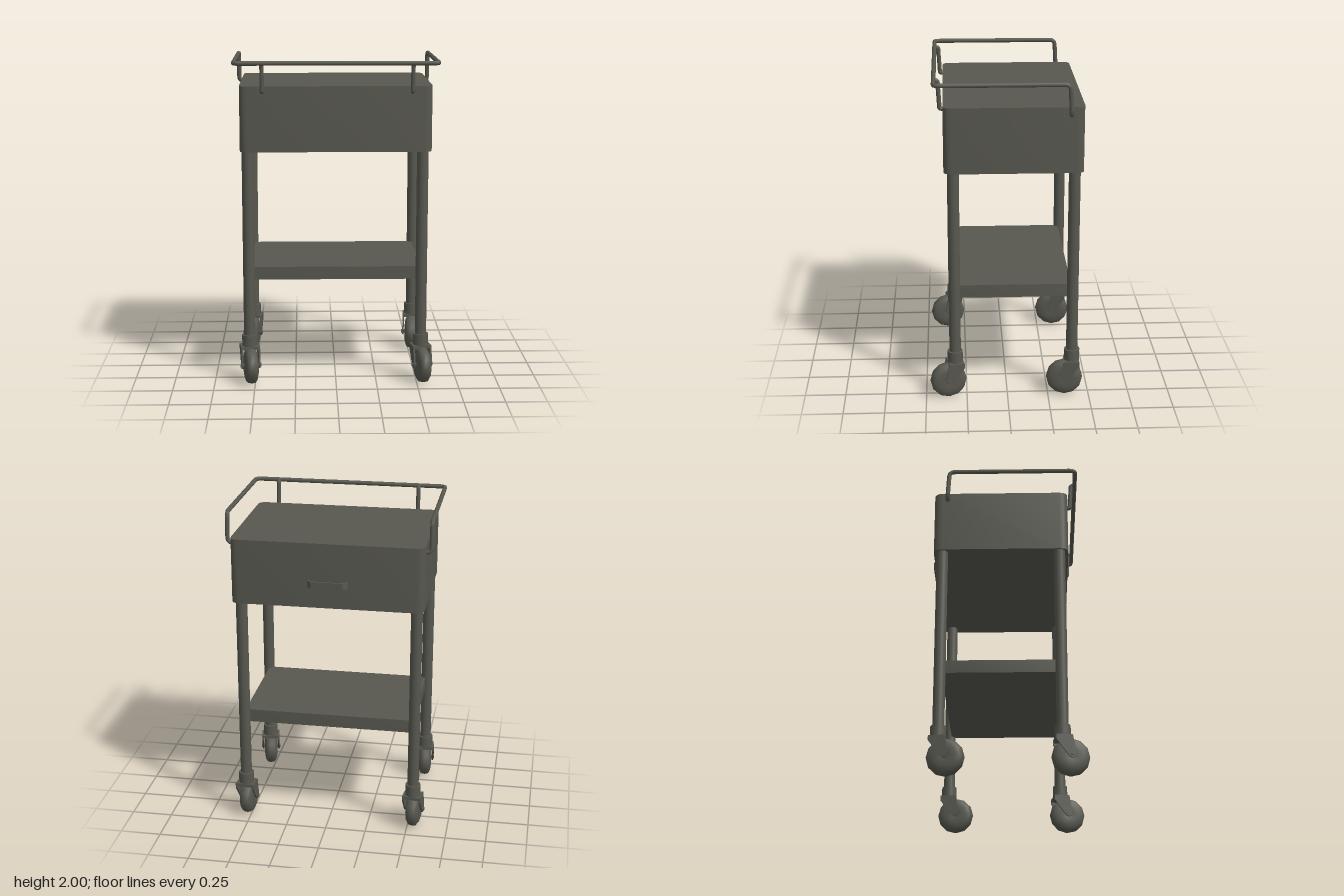
import * as THREE from 'three';
import { toCreasedNormals } from 'three/addons/utils/BufferGeometryUtils.js';

const darkMetal = new THREE.MeshStandardMaterial({ color: 0x585850 });

function part(name, geometry, parent, x = 0, y = 0, z = 0) {
  const mesh = new THREE.Mesh(geometry, darkMetal);
  mesh.name = name;
  mesh.position.set(x, y, z);
  parent.add(mesh);
  return mesh;
}

// Flat slab with rounded vertical corners, from y0 to y1
function slab(x0, x1, z0, z1, y0, y1, r) {
  const s = new THREE.Shape();
  const [a, b] = [-z1, -z0];
  s.moveTo(x0 + r, a);
  s.lineTo(x1 - r, a);
  s.quadraticCurveTo(x1, a, x1, a + r);
  s.lineTo(x1, b - r);
  s.quadraticCurveTo(x1, b, x1 - r, b);
  s.lineTo(x0 + r, b);
  s.quadraticCurveTo(x0, b, x0, b - r);
  s.lineTo(x0, a + r);
  s.quadraticCurveTo(x0, a, x0 + r, a);
  const g = new THREE.ExtrudeGeometry(s, { depth: y1 - y0, bevelEnabled: false, curveSegments: 4 });
  g.rotateX(-Math.PI / 2).translate(0, y0, 0);
  return toCreasedNormals(g, 0.7);
}

// Round bar along a polyline whose corners are bent with radius r
function bentBar(points, r, radius) {
  const p = points.map((c) => new THREE.Vector3(...c));
  const path = new THREE.CurvePath();
  let from = p[0];
  for (let i = 1; i < p.length - 1; i++) {
    const before = p[i].clone().add(p[i - 1].clone().sub(p[i]).setLength(r));
    const after = p[i].clone().add(p[i + 1].clone().sub(p[i]).setLength(r));
    path.add(new THREE.LineCurve3(from, before));
    path.add(new THREE.QuadraticBezierCurve3(before, p[i], after));
    from = after;
  }
  path.add(new THREE.LineCurve3(from, p[p.length - 1]));
  return new THREE.TubeGeometry(path, 160, radius, 8);
}

// Swivelling caster; the wheel trails towards local +z
function caster() {
  const g = new THREE.Group();
  g.name = 'caster';
  part('cuff', new THREE.CylinderGeometry(0.047, 0.047, 0.075, 16), g, 0, 0.267, 0);
  part('forkCrown', new THREE.BoxGeometry(0.11, 0.02, 0.095), g, 0, 0.225, 0);

  // Tapered side plates with a rounded end at the axle
  const s = new THREE.Shape();
  s.moveTo(-0.048, 0.235);
  s.lineTo(-0.048, 0.205);
  s.lineTo(0.022, 0.11);
  s.quadraticCurveTo(0.04, 0.085, 0.062, 0.105);
  s.lineTo(0.066, 0.13);
  s.lineTo(0.048, 0.235);
  const plate = new THREE.ExtrudeGeometry(s, { depth: 0.01, bevelEnabled: false, curveSegments: 5 });
  plate.rotateY(-Math.PI / 2).translate(0.005, 0, 0);
  for (const side of [-1, 1]) part('forkPlate', plate, g, side * 0.053, 0, 0);

  // Domed wheel narrowing towards the tread
  const profile = [[0, -0.036], [0.03, -0.042], [0.065, -0.041], [0.092, -0.034], [0.108, -0.022],
    [0.112, 0], [0.108, 0.022], [0.092, 0.034], [0.065, 0.041], [0.03, 0.042], [0, 0.036]];
  const wheel = new THREE.LatheGeometry(profile.map((c) => new THREE.Vector2(...c)), 12);
  wheel.rotateZ(Math.PI / 2);
  part('wheel', wheel, g, 0, 0.115, 0.044);
  part('axle', new THREE.CylinderGeometry(0.012, 0.012, 0.13, 6).rotateZ(Math.PI / 2), g, 0, 0.118, 0.044);
  return g;
}

export function createModel() {
  const cart = new THREE.Group();
  cart.name = 'rollingCart';

  // Drawer cabinet and lower shelf
  part('cabinet', slab(-0.578, 0.578, -0.448, 0.375, 1.45, 1.845, 0.05), cart);
  part('shelf', slab(-0.525, 0.52, -0.385, 0.312, 0.65, 0.73, 0.015), cart);

  // Legs and casters
  const legs = [[-0.533, 0.32, 0.16], [0.525, 0.32, 0.2], [-0.533, -0.395, -0.12], [0.525, -0.395, -0.08]];
  for (const [x, z, turn] of legs) {
    part('leg', new THREE.CylinderGeometry(0.035, 0.035, 1.2, 16), cart, x, 0.87, z);
    const c = caster();
    c.position.set(x, 0, z);
    c.rotation.y = turn;
    cart.add(c);
  }

  // Guard rail around three sides, its ends bent down into the cabinet
  part('guardRail', bentBar([
    [-0.57, 1.8, -0.366], [-0.607, 1.8, -0.366], [-0.607, 1.985, -0.356], [-0.607, 1.985, 0.425],
    [0.607, 1.985, 0.425], [0.607, 1.985, -0.356], [0.607, 1.8, -0.366], [0.57, 1.8, -0.366],
  ], 0.03, 0.0135), cart);
  for (const x of [-0.44, 0.456]) {
    part('railPost', bentBar([[x, 1.985, 0.418], [x, 1.975, 0.401], [x, 1.815, 0.392], [x, 1.81, 0.365]], 0.008, 0.013), cart);
  }

  // Drawer pull on the back
  const pull = new THREE.Shape([
    [-0.128, 0.44], [-0.128, 0.458], [-0.103, 0.481], [0.088, 0.481], [0.112, 0.458], [0.112, 0.44],
    [0.102, 0.44], [0.102, 0.456], [0.084, 0.471], [-0.099, 0.471], [-0.118, 0.456], [-0.118, 0.44],
  ].map((c) => new THREE.Vector2(...c)));
  const pullBar = new THREE.ExtrudeGeometry(pull, { depth: 0.04, bevelEnabled: false });
  part('drawerPull', pullBar.rotateX(-Math.PI / 2), cart, 0, 1.58, 0);

  return cart;
}
